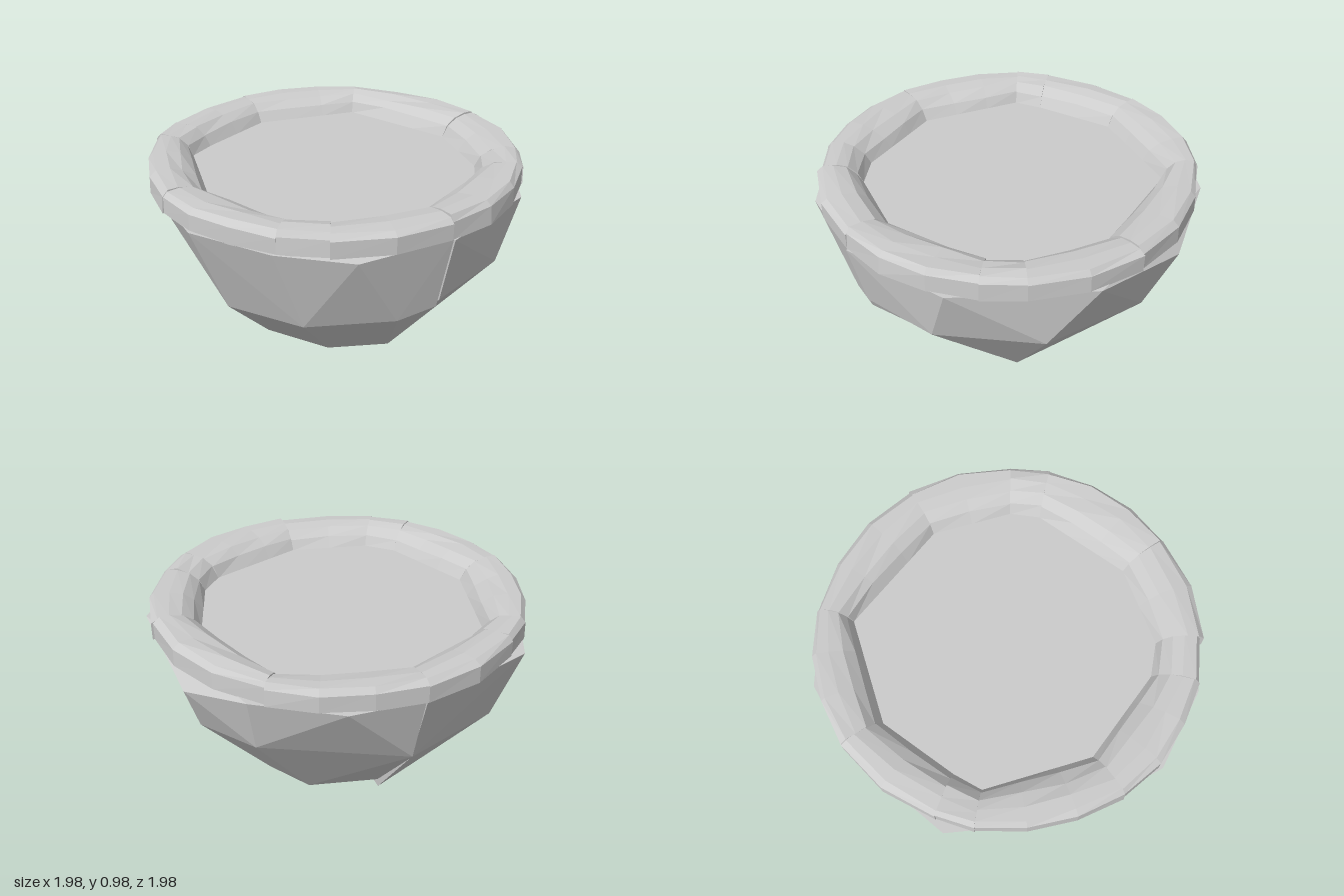
import * as THREE from 'three';
import { ConvexGeometry } from 'three/addons/geometries/ConvexGeometry.js';

const stone = new THREE.MeshStandardMaterial({ color: 0xcccccc, flatShading: true });

// Repeatable small variation in -1..1
function makeNoise(seed) {
  return () => {
    seed = (seed * 16807) % 2147483647;
    return (seed / 2147483647) * 2 - 1;
  };
}

// One faceted half of the bowl, as the hull of its bottom, middle and top corners
function bowlHalf(name, points) {
  const geometry = new ConvexGeometry(points.map((p) => new THREE.Vector3(...p)));
  const mesh = new THREE.Mesh(geometry, stone);
  mesh.name = name;
  return mesh;
}

// Rim cross-section: [share of the way from inner to outer edge, height]
const PROFILE = [[0, 0.857], [0.14, 0.92], [0.36, 0.958], [0.62, 0.973], [0.88, 0.97], [0.99, 0.945], [1, 0.857]];

// One rim stone: straight inner edge from a to b, curved outer edge
function rimStone(a, b, noise) {
  const a0 = Math.atan2(a[1], a[0]);
  let a1 = Math.atan2(b[1], b[0]);
  if (a1 < a0) a1 += Math.PI * 2;
  const steps = Math.max(1, Math.round((a1 - a0) / 0.27));
  const lift = noise() * 0.004;
  const sections = [];
  for (let s = 0; s <= steps; s++) {
    const t = s / steps;
    const angle = a0 + (a1 - a0) * t;
    const inner = [a[0] + (b[0] - a[0]) * t, a[1] + (b[1] - a[1]) * t];
    const r = 0.987 + noise() * 0.008;
    const outer = [Math.cos(angle) * r, Math.sin(angle) * r];
    sections.push(PROFILE.map(([f, y], k) => {
      const edge = k === 0 || k === PROFILE.length - 1;
      const g = edge ? f : Math.min(1, f + noise() * 0.03);
      return [
        inner[0] + (outer[0] - inner[0]) * g,
        edge ? y : Math.min(0.977, y + lift + noise() * 0.005),
        inner[1] + (outer[1] - inner[1]) * g,
      ];
    }));
  }

  const position = [];
  const tri = (...corners) => corners.forEach((p) => position.push(...p));
  const n = PROFILE.length;
  for (let s = 0; s < steps; s++) {
    const p = sections[s], q = sections[s + 1];
    for (let k = 0; k < n; k++) {
      const m = (k + 1) % n;
      tri(p[k], q[k], q[m]);
      tri(p[k], q[m], p[m]);
    }
  }
  // End faces
  const first = sections[0], last = sections[steps];
  for (let k = 1; k < n - 1; k++) {
    tri(first[0], first[k], first[k + 1]);
    tri(last[0], last[k + 1], last[k]);
  }
  const geometry = new THREE.BufferGeometry();
  geometry.setAttribute('position', new THREE.Float32BufferAttribute(position, 3));
  geometry.computeVertexNormals();
  return new THREE.Mesh(geometry, stone);
}

export function createModel() {
  const group = new THREE.Group();
  const seam = -0.015;

  // Bowl body in two halves that meet along a slightly stepped seam
  group.add(bowlHalf('leftBowlHalf', [
    [seam, 0.01, 0.53], [0.44, 0, 0.31], [0.47, 0.01, -0.15], [0.33, 0.01, -0.38], [seam, 0.04, -0.51],
    [seam, 0.5, 0.91], [0.42, 0.53, 0.83], [0.81, 0.52, 0.45], [0.84, 0.43, -0.18], [0.68, 0.55, -0.62], [seam, 0.47, -0.88],
    [seam, 0.86, 0.99], [0.55, 0.86, 0.84], [0.97, 0.86, 0.27], [0.93, 0.74, -0.31],
    [0.73, 0.86, -0.69], [0.35, 0.86, -0.95], [seam, 0.86, -0.98],
  ]));
  group.add(bowlHalf('rightBowlHalf', [
    [seam, 0.01, 0.53], [-0.3, 0.01, 0.38], [-0.48, 0.01, 0.06], [-0.42, 0.01, -0.22], [-0.07, 0, -0.48], [seam, 0, -0.52],
    [seam, 0.45, 0.89], [-0.22, 0.42, 0.85], [-0.6, 0.4, 0.62], [-0.79, 0.37, 0.22],
    [-0.72, 0.41, -0.22], [-0.58, 0.42, -0.66], [seam, 0.46, -0.87],
    [seam, 0.86, 0.98], [-0.48, 0.84, 0.89], [-0.77, 0.86, 0.64], [-0.98, 0.86, 0.25],
    [-0.93, 0.86, -0.28], [-0.64, 0.86, -0.81], [seam, 0.86, -0.99],
  ]));

  // Ring of rim stones, set between the corners (x, z) of the inner opening
  const corners = [
    [0.74, 0.02], [0.61, 0.43], [0.5, 0.55], [seam, 0.73], [-0.44, 0.62], [-0.57, 0.49],
    [-0.74, 0], [-0.57, -0.54], [-0.43, -0.61], [seam, -0.76], [0.54, -0.6],
  ];
  const rim = new THREE.Group();
  rim.name = 'rim';
  const noise = makeNoise(4711);
  corners.forEach((corner, i) => {
    const mesh = rimStone(corner, corners[(i + 1) % corners.length], noise);
    mesh.name = `rimStone${i + 1}`;
    rim.add(mesh);
  });
  group.add(rim);
  return group;
}
